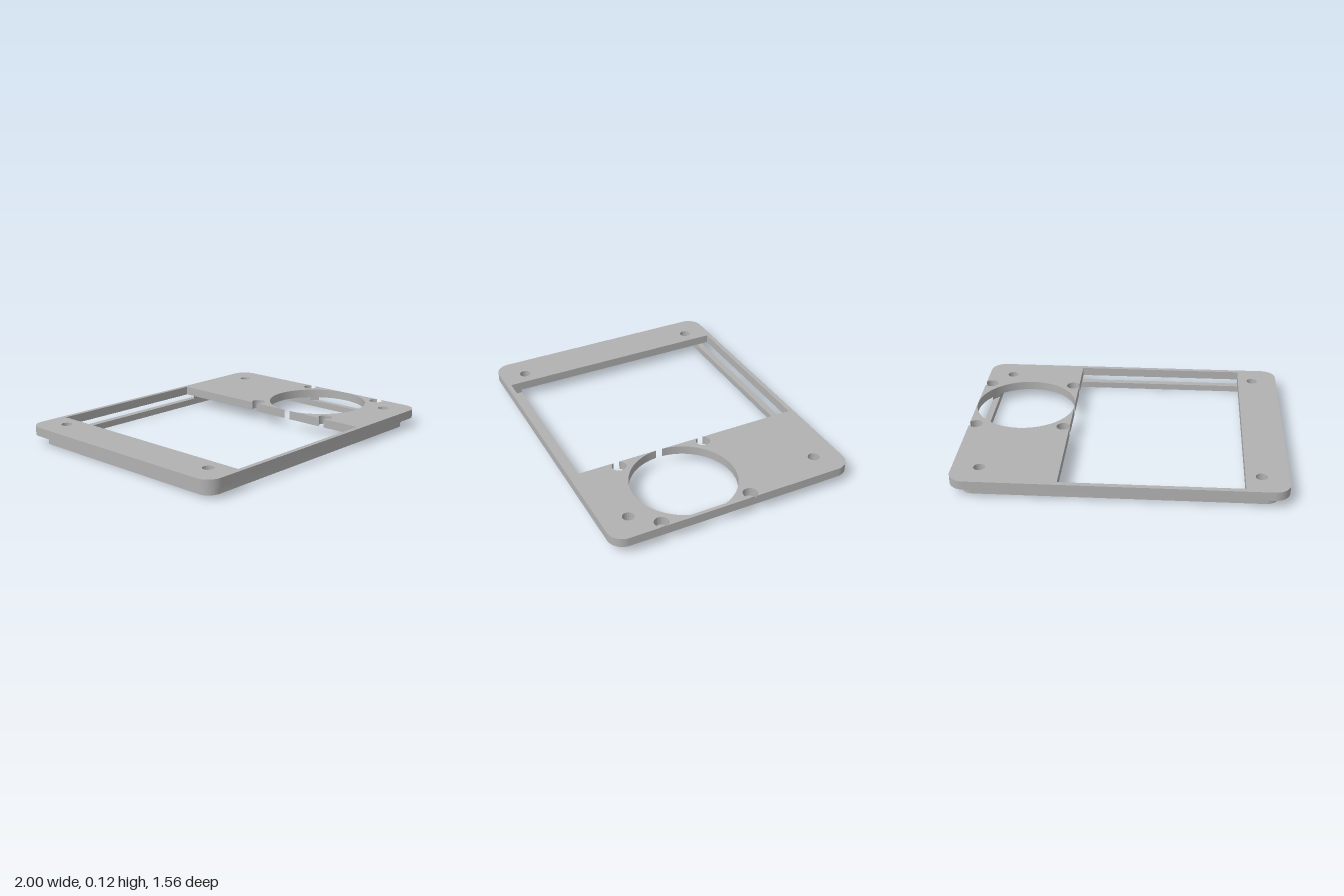
import * as THREE from 'three';
import { toCreasedNormals } from 'three/addons/utils/BufferGeometryUtils.js';

// Heights: rim bottom 0, notch floor, plate underside, plate top
const NOTCH = 0.041, UNDER = 0.061, TOP = 0.117;
// Window edges
const X0 = -0.74, X1 = 0.354, ZW = 0.75;
// Rim outlines (half sizes and corner radii)
const RX = 0.94, RZ = 0.725, RR = 0.08, IX = 0.9, IZ = 0.682, IR = 0.05;
// Fan opening and its screw holes (shape y is -z)
const FAN = { x: 0.676, y: -0.187, r: 0.3226 };
const SCREW = { r: 0.044, inset: 0.04, ys: [FAN.y - 0.285, FAN.y + 0.285] };

const gray = new THREE.MeshStandardMaterial({ color: 0xb2b2b2 });
gray.name = 'gray';

// Extrude an outline drawn in plan between two heights
function slab(name, shape, y0, y1) {
  let geo = new THREE.ExtrudeGeometry(shape, { depth: y1 - y0, bevelEnabled: false, curveSegments: 40 });
  geo.rotateX(-Math.PI / 2).translate(0, y0, 0);
  geo = toCreasedNormals(geo, 0.5);
  const mesh = new THREE.Mesh(geo, gray);
  mesh.name = name;
  return mesh;
}

// Rounded rectangle, counter-clockwise
function roundedRect(path, w, h, r) {
  const q = Math.PI / 2;
  path.absarc(w - r, h - r, r, 0, q, false);
  path.absarc(-w + r, h - r, r, q, 2 * q, false);
  path.absarc(-w + r, -h + r, r, 2 * q, 3 * q, false);
  path.absarc(w - r, -h + r, r, 3 * q, 4 * q, false);
  return path;
}

// Circle bulging to the right of the window edge
function biteRight(path, x, y, r) {
  const a = Math.acos((x - X1) / r);
  path.absarc(x, y, r, Math.PI + a, Math.PI - a, false);
}

function plateShape() {
  // Outer edge, with two screw holes breaking through on the +x side
  const shape = roundedRect(new THREE.Shape(), 1, 0.78, 0.095);
  const a = Math.acos(SCREW.inset / SCREW.r);
  for (const y of SCREW.ys) shape.absarc(1 - SCREW.inset, y, SCREW.r, -a, a, true);
  shape.closePath();

  // Window joined to the fan opening and the inner screw holes
  const hole = new THREE.Path();
  hole.moveTo(X0, -ZW);
  hole.lineTo(X1, -ZW);
  biteRight(hole, X1 + SCREW.inset, SCREW.ys[0], SCREW.r);
  biteRight(hole, FAN.x, FAN.y, FAN.r);
  biteRight(hole, X1 + SCREW.inset, SCREW.ys[1], SCREW.r);
  hole.lineTo(X1, ZW);
  hole.lineTo(X0, ZW);
  hole.closePath();
  shape.holes.push(hole);

  // Corner mounting holes
  for (const x of [-0.835, 0.835]) for (const y of [-0.617, 0.617]) {
    shape.holes.push(new THREE.Path().absarc(x, y, 0.035, 0, Math.PI * 2, false));
  }
  return shape;
}

function rimShape() {
  const shape = roundedRect(new THREE.Shape(), RX, RZ, RR);
  shape.closePath();
  const inner = roundedRect(new THREE.Path(), IX, IZ, IR);
  inner.closePath();
  shape.holes.push(inner);
  return shape;
}

// Rim wall above the notch floor on the -x side
function rimLeftShape() {
  const q = Math.PI / 2, s = new THREE.Shape();
  s.moveTo(X0, RZ);
  s.absarc(-RX + RR, RZ - RR, RR, q, 2 * q, false);
  s.absarc(-RX + RR, -RZ + RR, RR, 2 * q, 3 * q, false);
  s.lineTo(X0, -RZ);
  s.lineTo(X0, -IZ);
  s.absarc(-IX + IR, -IZ + IR, IR, 3 * q, 2 * q, true);
  s.absarc(-IX + IR, IZ - IR, IR, 2 * q, q, true);
  s.lineTo(X0, IZ);
  s.closePath();
  return s;
}

// Rim corner on the +x side, ending at the fan cut; side is the sign of shape y
function rimCornerShape(side) {
  const q = side * Math.PI / 2, cw = side > 0, s = new THREE.Shape();
  const cutY = x => FAN.y + side * Math.sqrt(FAN.r ** 2 - (x - FAN.x) ** 2);
  s.moveTo(X1, side * RZ);
  s.absarc(RX - RR, side * (RZ - RR), RR, q, 0, cw);
  s.lineTo(RX, cutY(RX));
  s.lineTo((RX + IX) / 2, cutY((RX + IX) / 2));
  s.lineTo(IX, cutY(IX));
  s.absarc(IX - IR, side * (IZ - IR), IR, 0, q, !cw);
  s.lineTo(X1, side * IZ);
  s.closePath();
  return s;
}

export function createModel() {
  const model = new THREE.Group();
  model.name = 'fanPanel';
  model.add(slab('topPlate', plateShape(), UNDER, TOP));

  // Raised rim below the plate, notched under the window and the fan
  const rim = new THREE.Group();
  rim.name = 'rim';
  rim.add(slab('rimBase', rimShape(), 0, NOTCH));
  rim.add(slab('rimRightSide', rimLeftShape(), NOTCH, UNDER));
  rim.add(slab('rimBackCorner', rimCornerShape(1), NOTCH, UNDER));
  rim.add(slab('rimFrontCorner', rimCornerShape(-1), NOTCH, UNDER));
  model.add(rim);
  return model;
}
